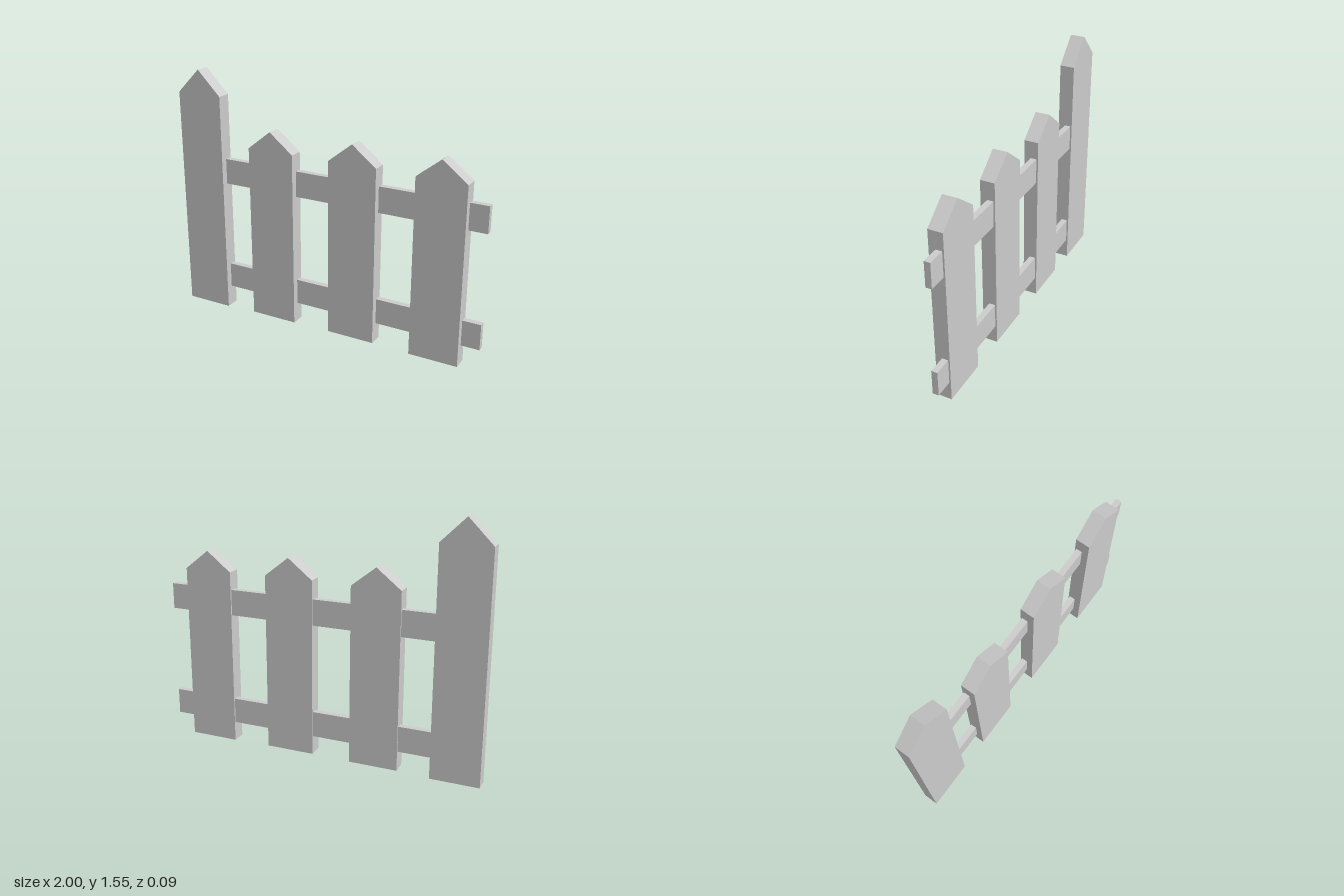
import * as THREE from 'three';

const material = new THREE.MeshStandardMaterial({ color: 0xcccccc, flatShading: true });
const DEPTH = 0.09;

// Upright board with a pointed top
function picket(name, left, right, bottom, shoulder, peak) {
  const shape = new THREE.Shape([
    new THREE.Vector2(left, bottom),
    new THREE.Vector2(right, bottom),
    new THREE.Vector2(right, shoulder),
    new THREE.Vector2((left + right) / 2, peak),
    new THREE.Vector2(left, shoulder),
  ]);
  const geometry = new THREE.ExtrudeGeometry(shape, { depth: DEPTH, bevelEnabled: false });
  geometry.translate(0, 0, -DEPTH / 2);
  const mesh = new THREE.Mesh(geometry, material);
  mesh.name = name;
  return mesh;
}

// Horizontal board, set slightly behind the middle of the pickets
function rail(name, bottom, top) {
  const x0 = -0.85, x1 = 1, z0 = -0.035, z1 = 0.003;
  const mesh = new THREE.Mesh(new THREE.BoxGeometry(x1 - x0, top - bottom, z1 - z0), material);
  mesh.position.set((x0 + x1) / 2, (bottom + top) / 2, (z0 + z1) / 2);
  mesh.name = name;
  return mesh;
}

export function createModel() {
  const fence = new THREE.Group();
  fence.name = 'picketFence';

  // Tall end post
  fence.add(picket('endPost', -1, -0.7, 0, 1.4, 1.55));

  // Three shorter pickets, the middle one a touch higher
  [[-0.5, 0], [0.045, 0.005], [0.585, 0]].forEach(([left, lift], i) => {
    fence.add(picket(`picket${i + 1}`, left, left + 0.303, 0.01 + lift, 1.11 + lift, 1.23 + lift));
  });

  // Rails
  fence.add(rail('lowerRail', 0.13, 0.29), rail('upperRail', 0.84, 1.0));
  return fence;
}
